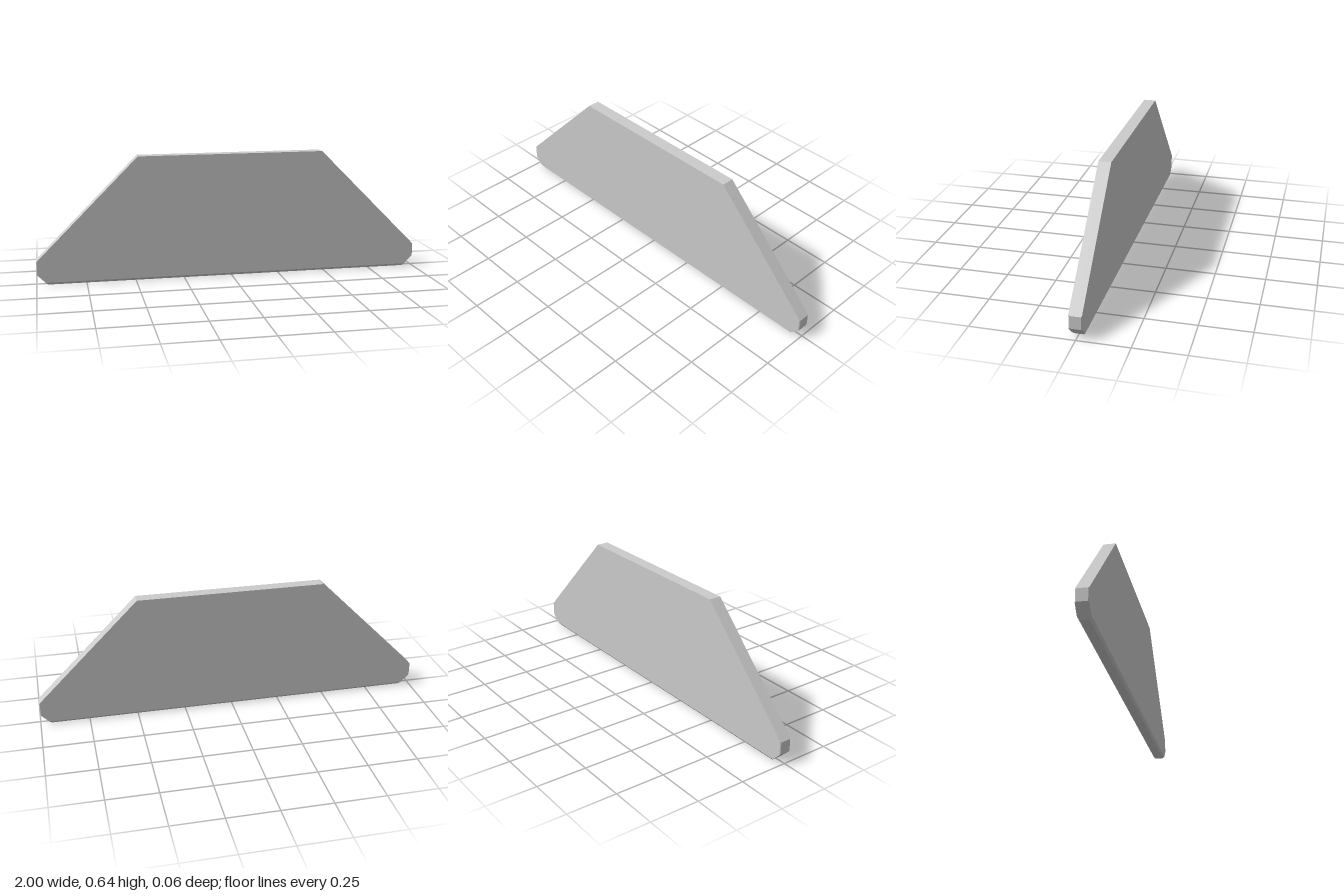
import * as THREE from 'three';
import { ConvexGeometry } from 'three/addons/geometries/ConvexGeometry.js';

// Half outline of the plate; all slanted edges run at 45 degrees
function halfOutline(halfWidth, bottom) {
  return [
    [0.48, 0.64],
    [halfWidth, 1.12 - halfWidth],
    [halfWidth, halfWidth - 0.943],
    [0.943 + bottom, bottom],
  ];
}

export function createModel() {
  const group = new THREE.Group();
  group.name = 'trapezoidPlate';

  // Cross-sections from the core out to the face: [z, half width, bottom height]
  const sections = [
    [0.021, 1, 0],
    [0.027, 1, 0.0072], // bottom chamfer meets the side chamfer
    [0.031, 0.996, 0.012],
  ];

  const points = [];
  for (const [z, halfWidth, bottom] of sections) {
    for (const [x, y] of halfOutline(halfWidth, bottom)) {
      for (const sx of [-1, 1]) {
        for (const sz of [-1, 1]) points.push(new THREE.Vector3(sx * x, y, sz * z));
      }
    }
  }

  // Solid plate with chamfered bottom and side edges
  const plate = new THREE.Mesh(
    new ConvexGeometry(points),
    new THREE.MeshStandardMaterial({ color: 0xcccccc, flatShading: true })
  );
  plate.name = 'plate';
  group.add(plate);
  return group;
}
